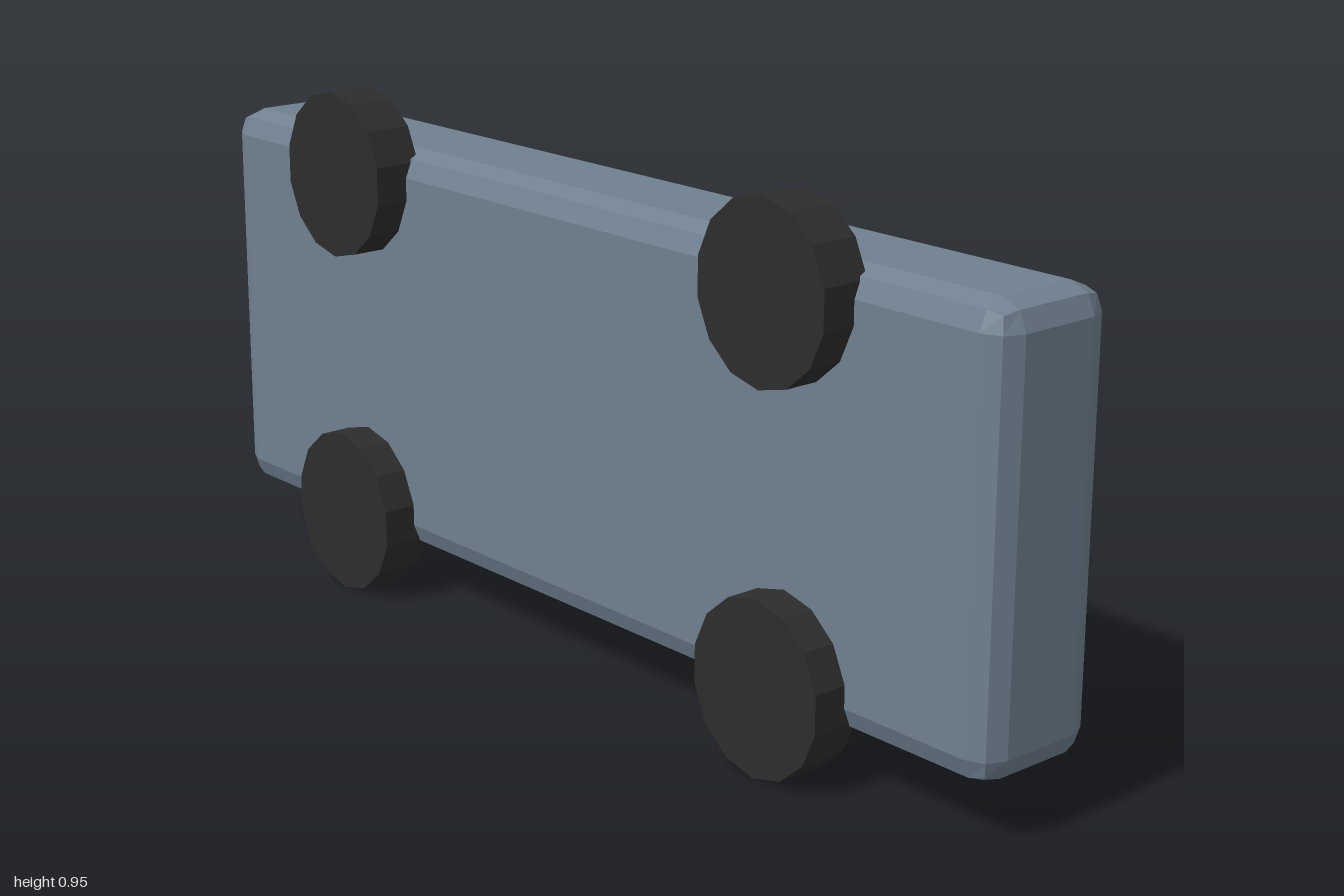
import * as THREE from 'three';
import { RoundedBoxGeometry } from 'three/addons/geometries/RoundedBoxGeometry.js';

function material(name, color) {
  const m = new THREE.MeshStandardMaterial({ color, flatShading: true });
  m.name = name;
  return m;
}

export function createModel() {
  const car = new THREE.Group();
  car.name = 'car';
  const paint = material('slate paint', 0x708090);
  const glass = material('dark blue glass', 0x3d5060);
  const rubber = material('black rubber', 0x2d2d2d);

  // Bevelled box given by its lower and upper corners
  function block(name, mat, lo, hi, radius) {
    const size = hi.map((v, i) => v - lo[i]);
    const mesh = new THREE.Mesh(new RoundedBoxGeometry(...size, 1, radius), mat);
    mesh.position.set(...hi.map((v, i) => (v + lo[i]) / 2));
    mesh.name = name;
    car.add(mesh);
  }

  // The car stands on its side: its roof points to -z and its wheels to +z
  block('body', paint, [-1, 0.1, -0.09], [1, 0.852, 0.152], 0.047);
  block('upperBody', paint, [-0.9, 0.122, -0.105], [0.9, 0.828, 0.05], 0.045);
  block('cabin', glass, [-0.5, 0.175, -0.215], [0.41, 0.775, 0], 0.042);

  // Slightly oval wheels
  const wheelGeometry = new THREE.CylinderGeometry(0.1525, 0.1525, 0.09, 14);
  wheelGeometry.rotateX(Math.PI / 2);
  wheelGeometry.scale(0.935, 1, 1);
  for (const x of [-0.565, 0.565]) {
    for (const y of [0.1525, 0.7975]) {
      const wheel = new THREE.Mesh(wheelGeometry, rubber);
      wheel.position.set(x, y, 0.17);
      wheel.name = 'wheel';
      car.add(wheel);
    }
  }
  return car;
}
